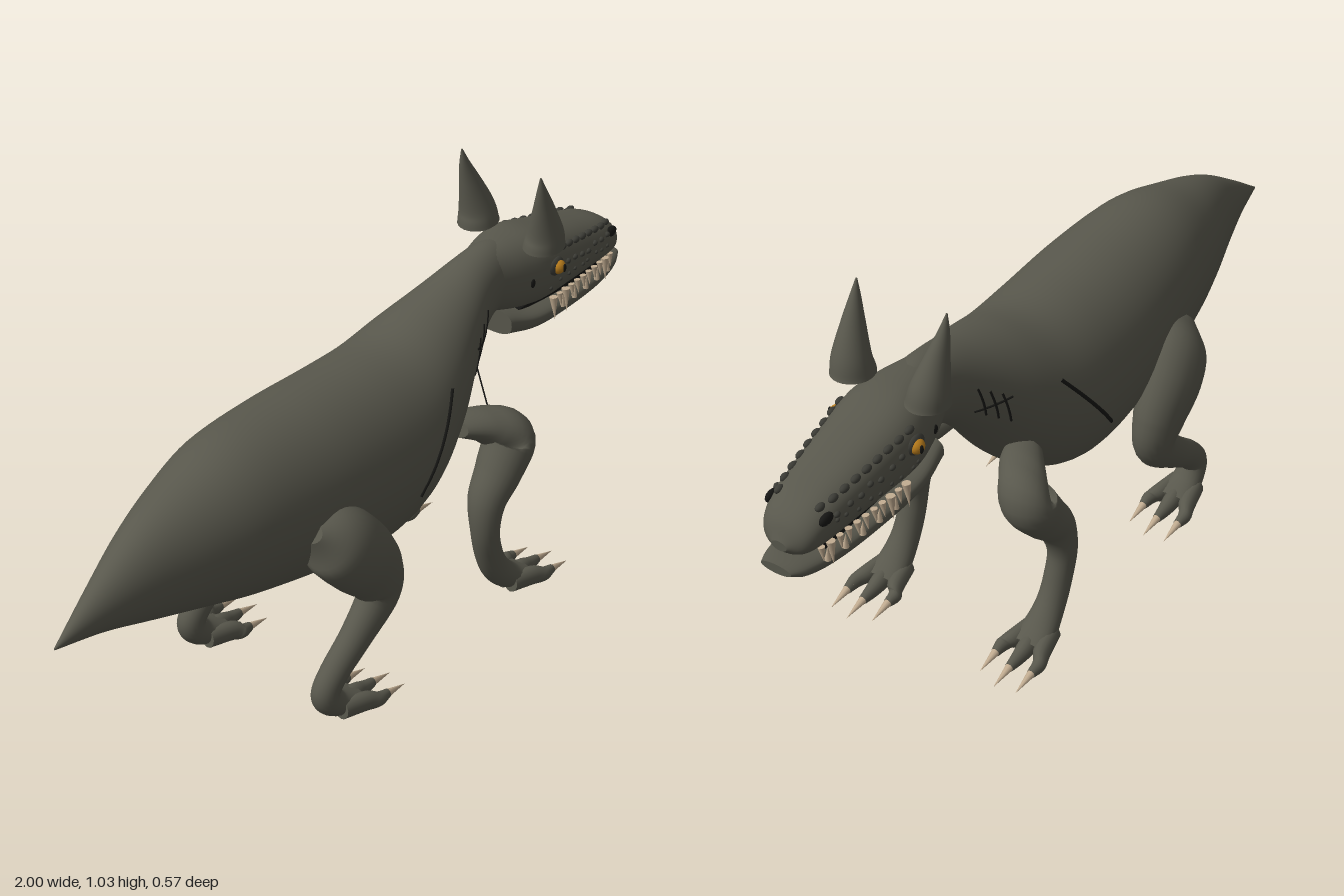
import * as THREE from 'three';

const paint = (name, color) => Object.assign(new THREE.MeshStandardMaterial({ color }), { name });
const skin = paint('skin', 0x58574c);
const scale = paint('scale', 0x3c3c36);
const dark = paint('dark', 0x161614);
const ivory = paint('ivory', 0xc0ab90);
const amber = paint('amber', 0xb87c1c);

const V = (x, y, z) => new THREE.Vector3(x, y, z);

// Smooth section at t: centre, height radius, z radius, squareness, tangent
function sampler(sections) {
  const path = new THREE.CatmullRomCurve3(sections.map(s => V(s[0], s[1], s[2])), false, 'catmullrom');
  const size = new THREE.CatmullRomCurve3(sections.map(s => V(s[3], s[4], s[5] || 2)), false, 'catmullrom');
  return t => ({ c: path.getPoint(t), r: size.getPoint(t), d: path.getTangent(t) });
}

// Skin over oval sections [x, y, z, ry, rz, squareness]; upright keeps the rings vertical
function loft(sections, upright = false, sides = 28, perSpan = 6) {
  const at = sampler(sections), steps = (sections.length - 1) * perSpan;
  const pos = [], idx = [];
  const pow = (v, n) => Math.sign(v) * Math.pow(Math.abs(v), 2 / n);
  for (let i = 0; i <= steps; i++) {
    const { c, r, d } = at(i / steps);
    const len = Math.hypot(d.x, d.y) || 1;
    const nx = upright ? 0 : -d.y / len, ny = upright ? 1 : d.x / len;
    for (let j = 0; j < sides; j++) {
      const a = j / sides * Math.PI * 2;
      const u = Math.max(r.x, 0.0005) * pow(Math.cos(a), r.z);
      const w = Math.max(r.y, 0.0005) * pow(Math.sin(a), r.z);
      pos.push(c.x + nx * u, c.y + ny * u, c.z + w);
      if (i < steps) {
        const p = i * sides + j, q = i * sides + (j + 1) % sides;
        idx.push(p, q, p + sides, q, q + sides, p + sides);
      }
    }
  }
  // Flat end caps with their own corners
  for (const [ring, end] of [[0, 0], [steps, 1]]) {
    const base = pos.length / 3, c = at(end).c;
    for (let j = 0; j < sides; j++) pos.push(...pos.slice((ring * sides + j) * 3, (ring * sides + j) * 3 + 3));
    pos.push(c.x, c.y, c.z);
    for (let j = 0; j < sides; j++) {
      const p = base + j, q = base + (j + 1) % sides;
      idx.push(base + sides, ...(end ? [p, q] : [q, p]));
    }
  }
  const g = new THREE.BufferGeometry();
  g.setAttribute('position', new THREE.Float32BufferAttribute(pos, 3));
  g.setIndex(idx);
  g.computeVertexNormals();
  return g;
}

// Half-width of an upright loft at a given x and y
function halfWidth(sections, x, y) {
  const at = sampler(sections);
  let lo = 0, hi = 1;
  for (let k = 0; k < 24; k++) {
    const m = (lo + hi) / 2;
    if (at(m).c.x < x) lo = m; else hi = m;
  }
  const { c, r } = at(lo);
  const f = Math.min(1, Math.abs((y - c.y) / r.x));
  return r.y * Math.pow(1 - Math.pow(f, r.z), 1 / r.z);
}

function add(parent, name, geometry, material) {
  const m = new THREE.Mesh(geometry, material);
  m.name = name;
  parent.add(m);
  return m;
}

function spike(parent, name, from, to, radius, material) {
  const dir = to.clone().sub(from), len = dir.length();
  const m = add(parent, name, new THREE.ConeGeometry(radius, len, 10).translate(0, len / 2, 0), material);
  m.position.copy(from);
  m.quaternion.setFromUnitVectors(V(0, 1, 0), dir.normalize());
}

function blob(parent, name, p, sx, sy, sz, material) {
  const m = add(parent, name, new THREE.SphereGeometry(1, 14, 10), material);
  m.position.copy(p);
  m.scale.set(sx, sy, sz);
}

const BODY = [
  [-1, 0.487, 0, 0.002, 0.002], [-0.87, 0.52, 0, 0.06, 0.042], [-0.74, 0.54, 0, 0.12, 0.085],
  [-0.6, 0.545, 0, 0.165, 0.132], [-0.45, 0.542, 0, 0.206, 0.17], [-0.25, 0.52, 0, 0.227, 0.197],
  [-0.05, 0.5, 0, 0.239, 0.203], [0.09, 0.518, 0, 0.222, 0.194], [0.21, 0.58, 0, 0.19, 0.162],
  [0.32, 0.662, 0, 0.138, 0.115], [0.41, 0.722, 0, 0.105, 0.08], [0.48, 0.745, 0, 0.093, 0.068],
  [0.55, 0.745, 0, 0.085, 0.07]];
const HEAD = [
  [0.46, 0.748, 0, 0.085, 0.062, 2.2], [0.54, 0.738, 0, 0.098, 0.09, 2.3], [0.62, 0.73, 0, 0.1, 0.106, 2.4],
  [0.72, 0.716, 0, 0.086, 0.1, 2.4], [0.82, 0.702, 0, 0.073, 0.09, 2.4], [0.91, 0.688, 0, 0.06, 0.079, 2.4],
  [0.96, 0.672, 0, 0.043, 0.06, 2.2], [0.985, 0.66, 0, 0.012, 0.02, 2]];
const JAW = [
  [0.5, 0.625, 0, 0.034, 0.075, 2.8], [0.6, 0.602, 0, 0.028, 0.09, 2.8], [0.75, 0.593, 0, 0.025, 0.085, 2.8],
  [0.88, 0.592, 0, 0.024, 0.074, 2.6], [0.96, 0.598, 0, 0.022, 0.058, 2.4], [1, 0.608, 0, 0.012, 0.04, 2]];

// Limb sections with z given for the +z side
const HIND = [
  [-0.36, 0.52, 0.15, 0.03, 0.05], [-0.31, 0.485, 0.185, 0.085, 0.075], [-0.25, 0.42, 0.207, 0.092, 0.072],
  [-0.19, 0.34, 0.212, 0.078, 0.06], [-0.175, 0.27, 0.212, 0.058, 0.048], [-0.25, 0.195, 0.212, 0.043, 0.038],
  [-0.335, 0.13, 0.212, 0.036, 0.034], [-0.365, 0.085, 0.212, 0.037, 0.034], [-0.335, 0.045, 0.212, 0.034, 0.04],
  [-0.27, 0.025, 0.212, 0.022, 0.05]];
const FORE = [
  [0.23, 0.485, 0.11, 0.025, 0.045], [0.3, 0.47, 0.15, 0.045, 0.065], [0.345, 0.435, 0.19, 0.062, 0.068],
  [0.3, 0.365, 0.198, 0.057, 0.06], [0.248, 0.3, 0.202, 0.047, 0.048], [0.233, 0.225, 0.212, 0.037, 0.036],
  [0.25, 0.15, 0.212, 0.036, 0.034], [0.28, 0.09, 0.212, 0.036, 0.036], [0.325, 0.045, 0.212, 0.034, 0.044],
  [0.38, 0.025, 0.212, 0.022, 0.05]];
const EAR = [
  [0.585, 0.825, 0.1, 0.056, 0.05], [0.582, 0.865, 0.104, 0.047, 0.044], [0.562, 0.935, 0.111, 0.03, 0.027],
  [0.545, 0.99, 0.116, 0.015, 0.013], [0.535, 1.033, 0.118, 0.002, 0.002]];

const mirrored = (sections, s) => sections.map(([x, y, z, a, b]) => [x, y, z * s, a, b]);

// Leg with three clawed toes
function leg(name, sections, s) {
  const g = new THREE.Group();
  g.name = name;
  add(g, 'limb', loft(mirrored(sections, s), false, 24), skin);
  const [x, , z] = sections[sections.length - 1];
  [[-0.056, 0.03], [0, 0.055], [0.054, 0.045]].forEach(([dz, reach]) => {
    const z0 = s * (z + dz * 0.5), z1 = s * (z + dz);
    add(g, 'toe', loft([[x - 0.07, 0.035, z0, 0.024, 0.02], [x, 0.027, (z0 + z1) / 2, 0.025, 0.022],
      [x + reach * 0.7, 0.02, z1, 0.019, 0.017], [x + reach + 0.02, 0.017, z1, 0.012, 0.011]], false, 14, 4), skin);
    spike(g, 'claw', V(x + reach + 0.005, 0.02, z1), V(x + reach + 0.085, 0.006, z1), 0.0125, ivory);
  });
  return g;
}

// Thin line lying on the body side
function scratch(parent, s, x0, y0, x1, y1, radius) {
  const pts = [0, 0.25, 0.5, 0.75, 1].map(t => {
    const x = x0 + (x1 - x0) * t, y = y0 + (y1 - y0) * t;
    return V(x, y, s * halfWidth(BODY, x, y));
  });
  add(parent, 'scar', new THREE.TubeGeometry(new THREE.CatmullRomCurve3(pts), 16, radius, 6), dark);
}

export function createModel() {
  const model = new THREE.Group();
  model.name = 'creature';
  add(model, 'body', loft(BODY, true, 48), skin);
  const head = new THREE.Group();
  head.name = 'head';
  model.add(head);
  add(head, 'skull', loft(HEAD, true, 36), skin);
  add(head, 'lowerJaw', loft(JAW, true, 32), skin);
  add(head, 'mouthLining', new THREE.BoxGeometry(0.34, 0.035, 0.1).translate(0.73, 0.62, 0), dark);

  let seed = 7;
  const rand = () => (seed = (seed * 16807) % 2147483647) / 2147483647;

  for (const s of [1, -1]) {
    const onHead = (x, y, lift = 0) => V(x, y, s * (halfWidth(HEAD, x, y) + lift));
    model.add(leg('hindLeg', HIND, s), leg('foreLeg', FORE, s));
    add(head, 'horn', loft(mirrored(EAR, s), false, 24), skin);

    // Eyes with dark rims and pupils
    blob(head, 'eyeRim', onHead(0.637, 0.745, -0.006), 0.03, 0.025, 0.014, scale);
    blob(head, 'eye', onHead(0.64, 0.745, 0.001), 0.02, 0.018, 0.018, amber);
    blob(head, 'pupil', onHead(0.644, 0.745, 0.017), 0.006, 0.011, 0.004, dark);
    blob(head, 'nostril', onHead(0.912, 0.715, -0.002), 0.022, 0.014, 0.01, dark);
    blob(head, 'earHole', onHead(0.555, 0.73, 0), 0.008, 0.012, 0.004, dark);

    // Scattered scales, large on the brow and small on the cheek
    for (let k = 0; k < 9; k++) {
      const x = 0.645 + k * 0.033;
      blob(head, 'browScale', onHead(x, 0.785 - k * 0.006), 0.014, 0.009, 0.009, scale);
      blob(head, 'snoutScale', onHead(x + 0.012 * rand(), 0.737 - k * 0.004 + 0.012 * rand()), 0.009, 0.007, 0.007, scale);
      blob(head, 'cheekScale', onHead(x - 0.03 + 0.02 * rand(), 0.685 + 0.025 * rand()), 0.006, 0.005, 0.005, scale);
    }

    // Teeth: upper row points down, lower row points up
    for (let k = 0; k < 11; k++) {
      const x = 0.655 + k * 0.027, z = s * (halfWidth(JAW, x, 0.6) + 0.001);
      const big = k === 0 || k === 2 || k === 9;
      spike(head, 'upperTooth', V(x, 0.645, z * 0.95), V(x, big ? 0.583 : 0.607, z * 1.03), big ? 0.011 : 0.0085, ivory);
      if (k % 2) spike(head, 'lowerTooth', V(x + 0.013, 0.603, z * 0.96), V(x + 0.013, 0.64, z * 0.98), 0.008, ivory);
    }

    // Long flank scar and neck scratches
    scratch(model, s, 0, 0.44, 0.16, 0.645, 0.005);
    for (let k = 0; k < 3; k++) scratch(model, s, 0.3 + k * 0.03, 0.6 + k * 0.022, 0.325 + k * 0.03, 0.69 + k * 0.02, 0.003);
    scratch(model, s, 0.3, 0.67, 0.39, 0.665, 0.003);
  }
  // Loose strand between throat and shoulder
  add(model, 'strand', new THREE.TubeGeometry(new THREE.LineCurve3(V(0.375, 0.61, 0.05), V(0.35, 0.49, 0.12)), 4, 0.002, 6), dark);
  return model;
}
